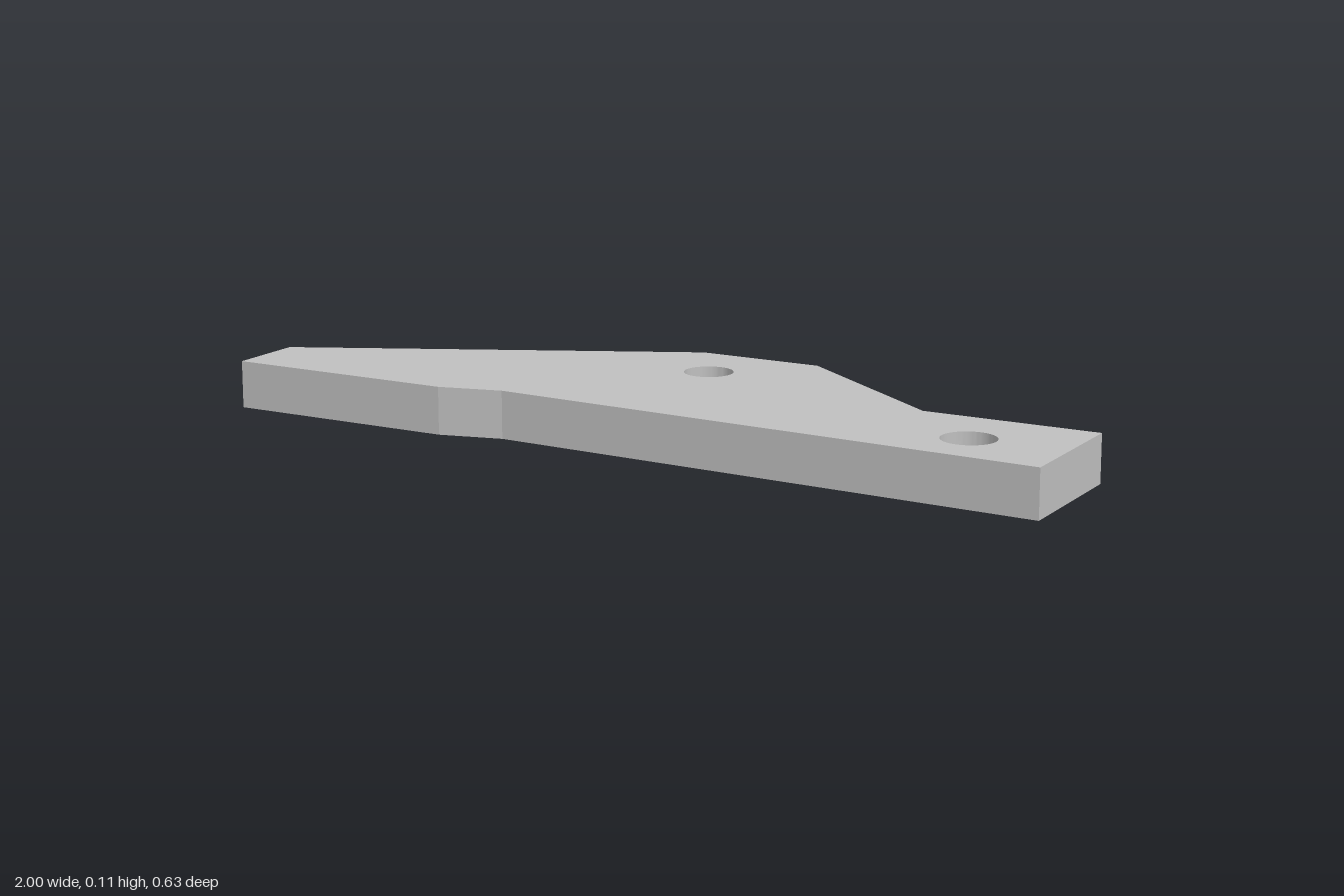
import * as THREE from 'three';
import { toCreasedNormals } from 'three/addons/utils/BufferGeometryUtils.js';

const THICKNESS = 0.11;

// Plate outline as [x, z], seen from above
const OUTLINE = [
  [-1, 0.3], [-0.45, 0.3], [-0.305, 0.263], [1, 0.313], [1, -0.02],
  [0.59, -0.02], [0.187, -0.315], [-0.112, -0.315], [-1, 0.118],
];

// Bolt holes as [x, z, radius]
const HOLES = [[0, -0.135, 0.057], [0.778, 0.16, 0.061]];

export function createModel() {
  const model = new THREE.Group();
  model.name = 'leverPlate';

  const steel = new THREE.MeshStandardMaterial({ color: 0xc0c0c0 });
  steel.name = 'lightGrey';

  // Shape is drawn in (x, -z) and laid flat after extrusion
  const shape = new THREE.Shape(OUTLINE.map(([x, z]) => new THREE.Vector2(x, -z)));
  for (const [x, z, r] of HOLES) {
    shape.holes.push(new THREE.Path().absarc(x, -z, r, 0, Math.PI * 2, true));
  }

  const extruded = new THREE.ExtrudeGeometry(shape, {
    depth: THICKNESS, bevelEnabled: false, curveSegments: 32,
  });
  extruded.rotateX(-Math.PI / 2);

  // Smooth hole walls, sharp plate edges
  const plate = new THREE.Mesh(toCreasedNormals(extruded, 0.21), steel);
  plate.name = 'plate';
  model.add(plate);
  return model;
}
